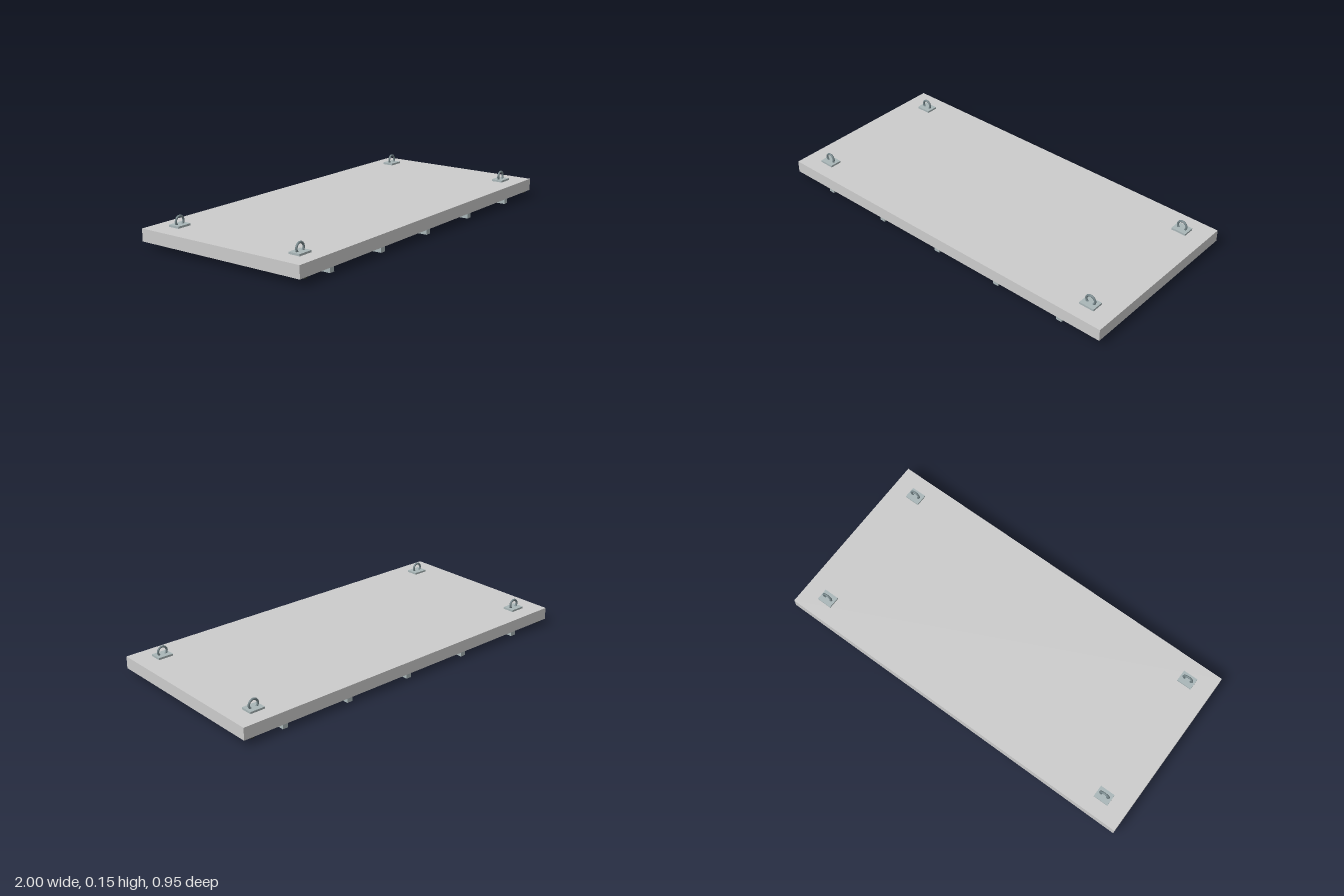
import * as THREE from 'three';

const slabMat = new THREE.MeshStandardMaterial({ color: 0xcccccc });
const steelMat = new THREE.MeshStandardMaterial({ color: 0xa9b6b8 });
const ringMat = new THREE.MeshStandardMaterial({ color: 0x76868a });
const rubberMat = new THREE.MeshStandardMaterial({ color: 0x2b2e2d });

// Box spanning y0..y1, centred on x and z
function box(name, mat, w, y0, y1, d, x = 0, z = 0) {
  const mesh = new THREE.Mesh(new THREE.BoxGeometry(w, y1 - y0, d), mat);
  mesh.position.set(x, (y0 + y1) / 2, z);
  mesh.name = name;
  return mesh;
}

// Base plate with an upright ring
function liftingEye(x, z) {
  const eye = new THREE.Group();
  eye.name = 'liftingEye';
  eye.add(box('eyePlate', steelMat, 0.08, 0.095, 0.105, 0.062));
  const ring = new THREE.Mesh(new THREE.TorusGeometry(0.0245, 0.0055, 12, 32), ringMat);
  ring.position.y = 0.12;
  ring.name = 'eyeRing';
  eye.add(ring);
  eye.position.set(x, 0, z);
  return eye;
}

export function createModel() {
  const model = new THREE.Group();
  model.name = 'coverSlab';

  model.add(box('slab', slabMat, 2, 0.032, 0.095, 0.95));

  // Stiffening ribs under the slab
  for (let i = -2; i <= 2; i++) {
    model.add(box('rib', steelMat, 0.03, 0, 0.032, 0.92, i * 0.381));
  }

  for (const sx of [-1, 1]) {
    // Rubber seal strip near each end
    model.add(box('sealStrip', rubberMat, 0.02, 0.023, 0.033, 0.938, sx * 0.951));
    for (const sz of [-1, 1]) model.add(liftingEye(sx * 0.864, sz * 0.365));
  }
  return model;
}
